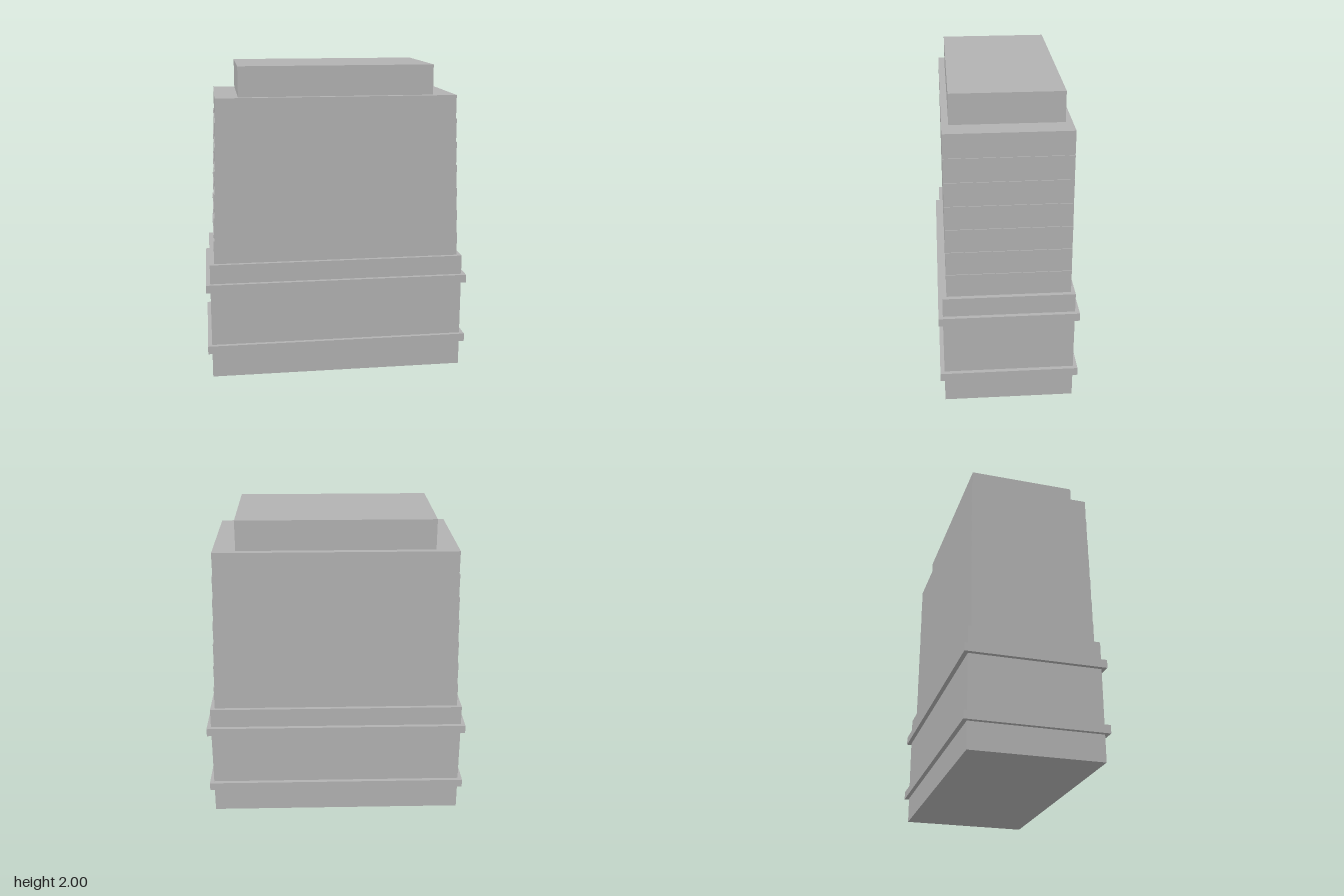
import * as THREE from 'three';

export function createModel() {
  const model = new THREE.Group();
  model.name = 'steppedTower';
  const stone = new THREE.MeshStandardMaterial({ color: 0xb2b2b2 });
  stone.name = 'grey stone';

  // Block from half width, half depth and bottom/top heights
  function addBlock(name, halfX, halfZ, y0, y1) {
    const mesh = new THREE.Mesh(new THREE.BoxGeometry(halfX * 2, y1 - y0, halfZ * 2), stone);
    mesh.position.y = (y0 + y1) / 2;
    mesh.name = name;
    model.add(mesh);
  }

  // Podium with two projecting ledges
  addBlock('podium', 0.823, 0.411, 0, 0.757);
  addBlock('lowerLedge', 0.85, 0.438, 0.168, 0.22);
  addBlock('upperLedge', 0.85, 0.438, 0.58, 0.632);

  // Tower body: seven tiers, each slightly narrower in x, flush at front and back
  const tiers = 7, y0 = 0.757, y1 = 1.81, wide = 0.794, narrow = 0.761, halfDepth = 0.385;
  const side = [];
  for (let i = 0; i < tiers; i++) {
    const x = THREE.MathUtils.lerp(wide, narrow, i / (tiers - 1));
    for (const k of [i, i + 1]) {
      side.push(new THREE.Vector2(x, THREE.MathUtils.lerp(y0, y1, k / tiers)));
    }
  }
  const mirrored = side.map((p) => new THREE.Vector2(-p.x, p.y)).reverse();
  const bodyGeometry = new THREE.ExtrudeGeometry(new THREE.Shape([...side, ...mirrored]), {
    depth: halfDepth * 2, bevelEnabled: false,
  });
  bodyGeometry.translate(0, 0, -halfDepth);
  const body = new THREE.Mesh(bodyGeometry, stone);
  body.name = 'tieredBody';
  model.add(body);

  // Roof block
  addBlock('roofBlock', 0.617, 0.343, 1.81, 2);

  return model;
}
